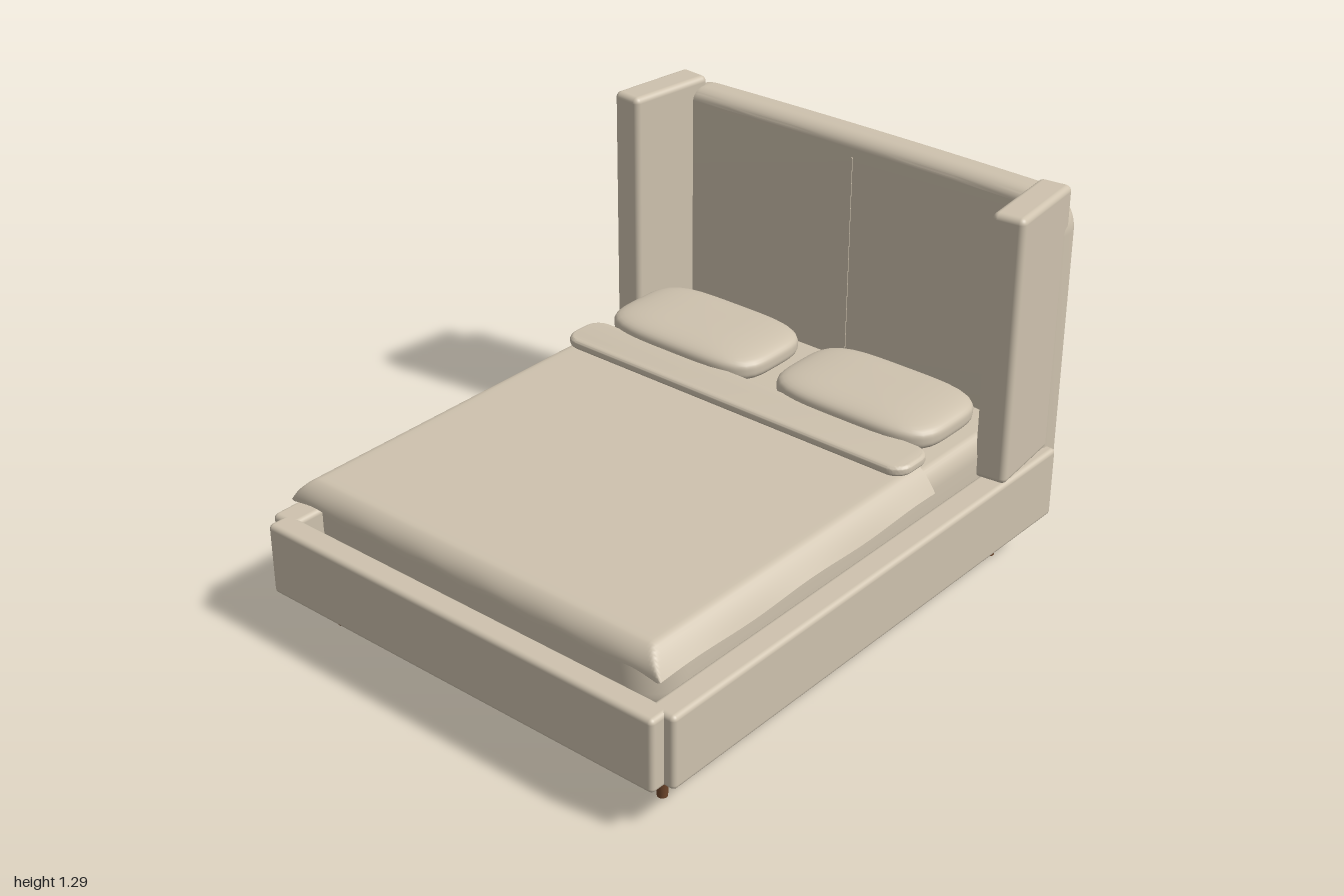
import * as THREE from 'three';
import { mergeVertices, toCreasedNormals } from 'three/addons/utils/BufferGeometryUtils.js';
import { RoundedBoxGeometry } from 'three/addons/geometries/RoundedBoxGeometry.js';

const fabric = new THREE.MeshStandardMaterial({ color: 0xcec2ae });
fabric.name = 'beige fabric';
const bedding = new THREE.MeshStandardMaterial({ color: 0xcec2ae, side: THREE.DoubleSide });
bedding.name = 'beige bedding';
const wood = new THREE.MeshStandardMaterial({ color: 0x6e462b });
wood.name = 'walnut wood';

// Cushioned slab: rounded rectangle w x h, thickness d along z, soft rim, optional arched top
function slab(w, h, d, r, rimSize, rimDepth, arch = 0) {
  const x = w / 2 - rimSize, y = h / 2 - rimSize, q = r - rimSize;
  const s = new THREE.Shape();
  s.moveTo(-x + q, -y);
  s.lineTo(x - q, -y);
  s.absarc(x - q, -y + q, q, -Math.PI / 2, 0);
  s.lineTo(x, y - q - arch);
  s.absarc(x - q, y - q - arch, q, 0, Math.PI / 2);
  if (arch) s.quadraticCurveTo(0, y + arch, -x + q, y - arch);
  else s.lineTo(-x + q, y);
  s.absarc(-x + q, y - q - arch, q, Math.PI / 2, Math.PI);
  s.lineTo(-x, -y + q);
  s.absarc(-x + q, -y + q, q, Math.PI, Math.PI * 1.5);
  const g = new THREE.ExtrudeGeometry(s, {
    depth: d - 2 * rimDepth, bevelThickness: rimDepth, bevelSize: rimSize,
    bevelSegments: 8, curveSegments: 10,
  });
  g.translate(0, 0, -d / 2 + rimDepth);
  return toCreasedNormals(g, 0.4);
}

// Pillow: sphere pushed out to a rounded rectangle in plan with a full edge
function pillowGeometry(hx, hy, hz) {
  let g = new THREE.SphereGeometry(1, 48, 32);
  const p = g.attributes.position;
  for (let i = 0; i < p.count; i++) {
    const x = p.getX(i), y = p.getY(i), z = p.getZ(i);
    const r = Math.hypot(x, z);
    const plan = r > 1e-6 ? r / Math.pow(x ** 4 + z ** 4, 0.25) : 1;
    const k = 1 / Math.pow(r ** 3.4 + Math.abs(y) ** 3.4, 1 / 3.4);
    p.setXYZ(i, x * plan * k * hx, y * k * hy, z * plan * k * hz);
  }
  g.deleteAttribute('uv');
  g.deleteAttribute('normal');
  g = mergeVertices(g, 1e-5);
  g.computeVertexNormals();
  return g;
}

// Duvet: sheet that rolls over the sides and foot and ends in a wavy hem
function duvetGeometry() {
  const g = new THREE.PlaneGeometry(2, 1, 100, 80).rotateX(-Math.PI / 2);
  const p = g.attributes.position;
  for (let i = 0; i < p.count; i++) {
    const a = p.getX(i), b = p.getZ(i) + 0.5;
    const tx = Math.max(0, (Math.abs(a) - 0.85) / 0.15);
    const tz = Math.max(0, (b - 0.88) / 0.12);
    const x = Math.sign(a) * (0.66 * Math.min(Math.abs(a) / 0.85, 1) + 0.07 * tx);
    const z = -0.35 + 1.22 * Math.min(b / 0.88, 1) + 0.055 * Math.sin(tz * Math.PI / 2);
    const t = Math.max(tx, tz);
    const wave = tz > tx ? 0.007 * Math.cos(x * 25) : 0.004 * Math.cos(z * 12);
    p.setXYZ(i, x, 0.545 - 0.076 * Math.pow(t, 1.5) - wave * Math.pow(t, 4), z);
  }
  g.computeVertexNormals();
  return g;
}

export function createModel() {
  const bed = new THREE.Group();
  bed.name = 'bed';
  const add = (name, geometry, material, x, y, z) => {
    const m = new THREE.Mesh(geometry, material);
    m.name = name;
    m.position.set(x, y, z);
    bed.add(m);
    return m;
  };
  const box = (name, w, h, d, x, y, z, material = wood) =>
    add(name, new THREE.BoxGeometry(w, h, d), material, x, y, z);

  // Headboard with its raised centre seam
  add('headboard', slab(1.54, 1.07, 0.13, 0.13, 0.04, 0.05, 0.005), fabric, 0, 0.735, -0.935);
  box('headboardSeam', 0.005, 0.8, 0.004, 0, 0.8, -0.869, fabric);

  // Mirrored wings, side rails, inner boards and tapered legs
  const legGeometry = new THREE.CylinderGeometry(0.023, 0.016, 0.12, 20);
  for (const s of [-1, 1]) {
    const wing = add('wing', new RoundedBoxGeometry(0.11, 0.9, 0.325, 4, 0.02), fabric, s * 0.728, 0.845, -0.783);
    wing.rotation.y = s * 0.11;
    add('sideRail', new RoundedBoxGeometry(0.095, 0.245, 1.88, 4, 0.016), fabric, s * 0.7525, 0.2775, 0.01);
    box('sideBoard', 0.02, 0.1, 1.56, s * 0.696, 0.24, 0.13);
    for (const z of [0.83, -0.81]) add('leg', legGeometry, wood, s * 0.655, 0.06, z);
  }
  add('footRail', new RoundedBoxGeometry(1.53, 0.245, 0.085, 4, 0.016), fabric, 0, 0.2775, 0.9575);

  // Wooden base
  box('footBoard', 1.39, 0.1, 0.02, 0, 0.24, 0.905);
  box('centreBeam', 0.035, 0.08, 1.77, 0, 0.24, 0.015);
  for (const z of [0.58, -0.56]) box('centreLeg', 0.04, 0.21, 0.04, 0, 0.105, z);
  for (let i = 0; i < 15; i++) box('slat', 1.4, 0.02, 0.07, 0, 0.288, -0.81 + i * 0.119);

  // Mattress and bedding
  add('mattress', slab(1.405, 1.73, 0.227, 0.14, 0.04, 0.07).rotateX(-Math.PI / 2), fabric, 0, 0.4135, 0.045);
  add('duvet', duvetGeometry(), bedding, 0, 0, 0);
  add('duvetFold', slab(1.37, 0.17, 0.035, 0.06, 0.015, 0.016).rotateX(-Math.PI / 2), fabric, 0, 0.566, -0.312);
  const pillow = pillowGeometry(0.307, 0.054, 0.188);
  for (const s of [-1, 1]) add('pillow', pillow, fabric, s * 0.345, 0.58, -0.557);

  return bed;
}
